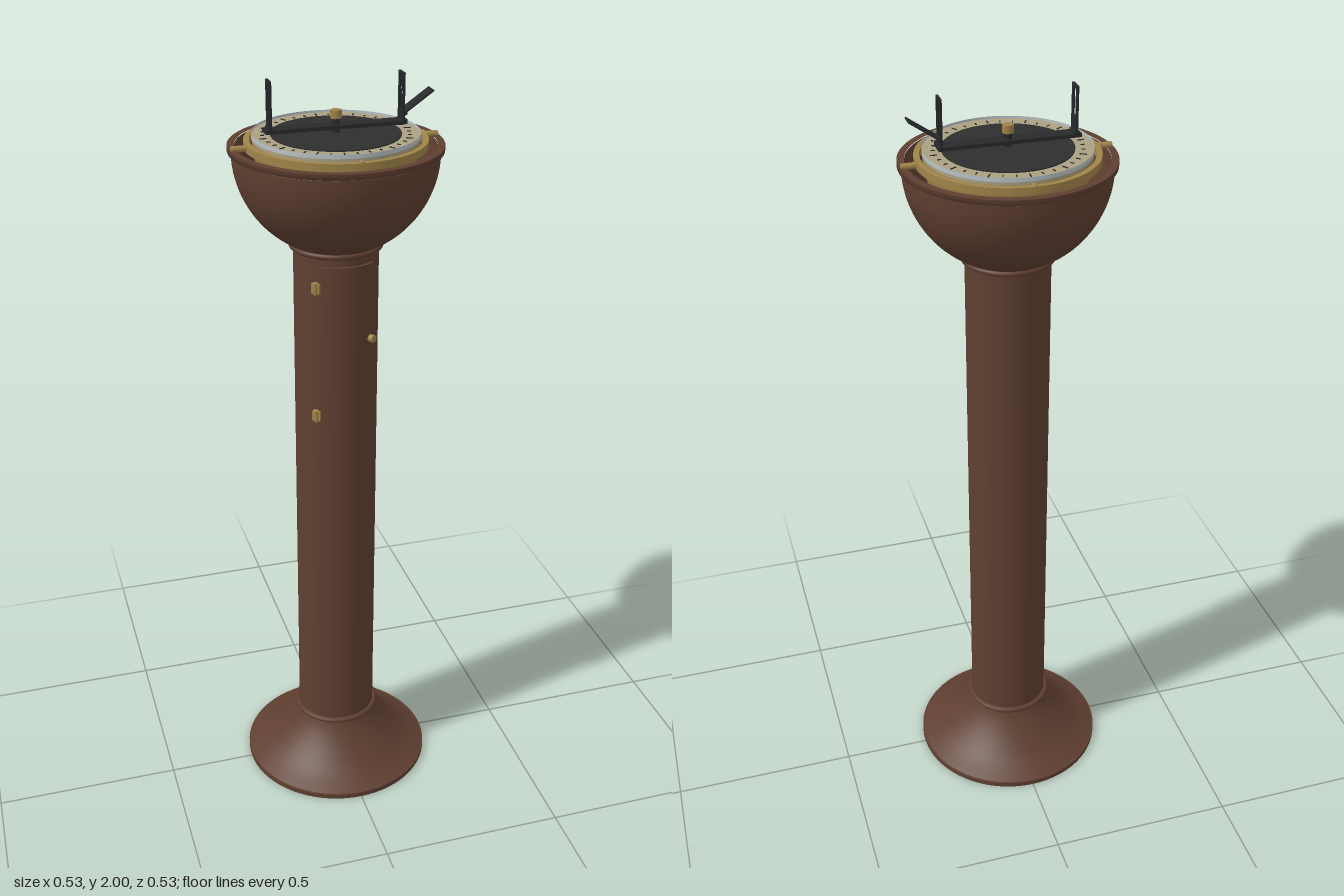
import * as THREE from 'three';

const material = (name, color, side = THREE.FrontSide) => {
  const m = new THREE.MeshStandardMaterial({ color, side });
  m.name = name;
  return m;
};

export function createModel() {
  const brown = material('brown paint', 0x5f3f31);
  const brass = material('brass', 0x9f8449);
  const cream = material('card cream', 0xaaa183);
  const charcoal = material('card charcoal', 0x2e2e2f);
  const black = material('black metal', 0x27292b);
  const pale = material('pale glass', 0xb9c3c9, THREE.DoubleSide);

  const model = new THREE.Group();
  model.name = 'compassPedestal';

  const add = (name, geometry, mat, x = 0, y = 0, z = 0, parent = model) => {
    const mesh = new THREE.Mesh(geometry, mat);
    mesh.name = name;
    mesh.position.set(x, y, z);
    parent.add(mesh);
    return mesh;
  };
  const box = (w, h, d) => new THREE.BoxGeometry(w, h, d);
  const cyl = (r, h, n = 64) => new THREE.CylinderGeometry(r, r, h, n);
  // Smooth revolved section; separate lathes keep the edges between them sharp
  const lathe = (pts, n = 72) => new THREE.LatheGeometry(pts.map(([r, y]) => new THREE.Vector2(r, y)), n);

  // Flared foot
  add('footPlate', cyl(0.262, 0.014, 72), brown, 0, 0.007);
  const flare = new THREE.SplineCurve([[0.258, 0.014], [0.205, 0.045], [0.158, 0.09], [0.128, 0.13], [0.113, 0.16]]
    .map(([r, y]) => new THREE.Vector2(r, y)));
  add('footFlare', new THREE.LatheGeometry(flare.getPoints(16), 72), brown);
  const collar = new THREE.TorusGeometry(0.112, 0.008, 10, 64).rotateX(Math.PI / 2);
  add('lowerCollar', collar, brown, 0, 0.164);

  // Column
  add('column', cyl(0.108, 1.44, 72), brown, 0, 0.88);
  add('upperCollar', collar, brown, 0, 1.588);

  // Hollow bowl with a flat rim
  const arc = (radius, centerY, from, to, steps = 20) => Array.from({ length: steps + 1 }, (_, i) => {
    const a = THREE.MathUtils.lerp(from, to, i / steps);
    return [radius * Math.sin(a), centerY - radius * Math.cos(a)];
  });
  add('bowlOutside', lathe(arc(0.255, 1.822, 0.42, Math.PI / 2)), brown);
  add('bowlInside', lathe(arc(0.246, 1.838, Math.PI / 2, 0)), brown);
  add('bowlRim', lathe([[0.253, 1.822], [0.264, 1.826], [0.264, 1.84]]), brown);
  add('bowlRimTop', lathe([[0.264, 1.84], [0.246, 1.84]]), brown);
  add('bowlFloor', lathe([[0, 1.588], [0.106, 1.588]]), brown);

  // Curved access door on the front of the column
  const doorHalf = 0.68;
  const doorShape = new THREE.Shape();
  doorShape.absarc(0, 0, 0.115, -doorHalf, doorHalf, false);
  doorShape.absarc(0, 0, 0.105, doorHalf, -doorHalf, true);
  const doorGeometry = new THREE.ExtrudeGeometry(doorShape, { depth: 0.45, bevelEnabled: false, curveSegments: 24 });
  // Arc centre turns from +x to the front, height from z to y
  doorGeometry.rotateX(-Math.PI / 2).rotateY(-Math.PI / 2);
  add('accessDoor', doorGeometry, brown, 0, 1.11, 0);
  for (const y of [1.505, 1.155]) {
    const hinge = add('doorHinge', box(0.022, 0.026, 0.014), brass, -0.076, y, 0.087);
    hinge.rotation.y = -0.71;
    const pin = add('hingePin', cyl(0.005, 0.03, 12), brass, -0.08, y, 0.092);
    pin.rotation.y = -0.71;
  }
  const knob = add('doorKnob', cyl(0.01, 0.018, 16).rotateX(Math.PI / 2), brass, 0.064, 1.36, 0.1);
  knob.rotation.y = 0.57;

  // Gimbal ring with its pivots
  const ringShape = new THREE.Shape().absarc(0, 0, 0.224, 0, Math.PI * 2);
  ringShape.holes.push(new THREE.Path().absarc(0, 0, 0.21, 0, Math.PI * 2));
  const ring = new THREE.ExtrudeGeometry(ringShape, { depth: 0.018, bevelEnabled: false, curveSegments: 48 });
  add('gimbalRing', ring.rotateX(-Math.PI / 2), brass, 0, 1.834);
  for (const s of [-1, 1]) {
    add('outerPivot', cyl(0.008, 0.042, 16).rotateZ(Math.PI / 2), brass, s * 0.239, 1.843);
    add('innerPivot', cyl(0.005, 0.022, 12).rotateX(Math.PI / 2), brass, 0, 1.85, s * 0.211);
  }

  // Compass bowl, card and glass edge
  add('compassBowl', lathe(arc(0.203, 1.85, 0, Math.PI / 2)), brass);
  add('compassCard', cyl(0.204, 0.012, 72), cream, 0, 1.856);
  add('glassEdge', new THREE.CylinderGeometry(0.2045, 0.2045, 0.01, 72, 1, true), pale, 0, 1.863);
  add('cardCentre', cyl(0.159, 0.003, 64), charcoal, 0, 1.8635);
  const ticks = new THREE.Group();
  ticks.name = 'cardTicks';
  model.add(ticks);
  for (let i = 0; i < 36; i++) {
    const a = i * Math.PI / 18;
    const long = i % 3 === 0;
    const r = long ? 0.181 : 0.178;
    const tick = add('tick', box(0.0025, 0.002, long ? 0.017 : 0.01), charcoal, r * Math.sin(a), 1.863, r * Math.cos(a), ticks);
    tick.rotation.y = a;
  }

  // Sighting arm across the card
  const arm = new THREE.Group();
  arm.name = 'sightingArm';
  model.add(arm);
  add('armBar', box(0.35, 0.009, 0.037), black, -0.003, 1.881, 0, arm);
  add('armHub', cyl(0.009, 0.036, 16), black, 0, 1.884, 0, arm);
  add('armKnob', cyl(0.014, 0.02, 8).rotateY(Math.PI / 8), brass, 0, 1.91, 0, arm);

  // Upright sight with a window, facing along x
  const sight = (name, x, half, border, sill) => {
    const shape = new THREE.Shape([[-half, 0], [half, 0], [half, 0.12], [-half, 0.12]].map(p => new THREE.Vector2(...p)));
    const w = half - border;
    shape.holes.push(new THREE.Path([[-w, sill], [-w, 0.12 - border], [w, 0.12 - border], [w, sill]].map(p => new THREE.Vector2(...p))));
    const g = new THREE.ExtrudeGeometry(shape, { depth: 0.006, bevelEnabled: false });
    g.translate(0, 0, -0.003).rotateY(Math.PI / 2);
    add(name, g, black, x, 1.88, 0, arm);
  };
  sight('rearSight', -0.165, 0.018, 0.007, 0.045);
  sight('frontSight', 0.165, 0.018, 0.005, 0.022);
  add('sightThread', box(0.002, 0.1, 0.002), black, 0.165, 1.945, 0, arm);
  add('rearSightFoot', box(0.012, 0.012, 0.037), black, -0.165, 1.884, 0, arm);
  add('frontSightFoot', box(0.01, 0.012, 0.047), black, 0.168, 1.884, 0, arm);

  // Tilted reflector hinged to the front sight
  const reflector = add('reflector', box(0.088, 0.004, 0.037), black, 0.205, 1.929, 0, arm);
  reflector.rotation.z = 0.6;
  add('reflectorHinge', cyl(0.005, 0.044, 12).rotateX(Math.PI / 2), black, 0.169, 1.904, 0, arm);

  return model;
}
